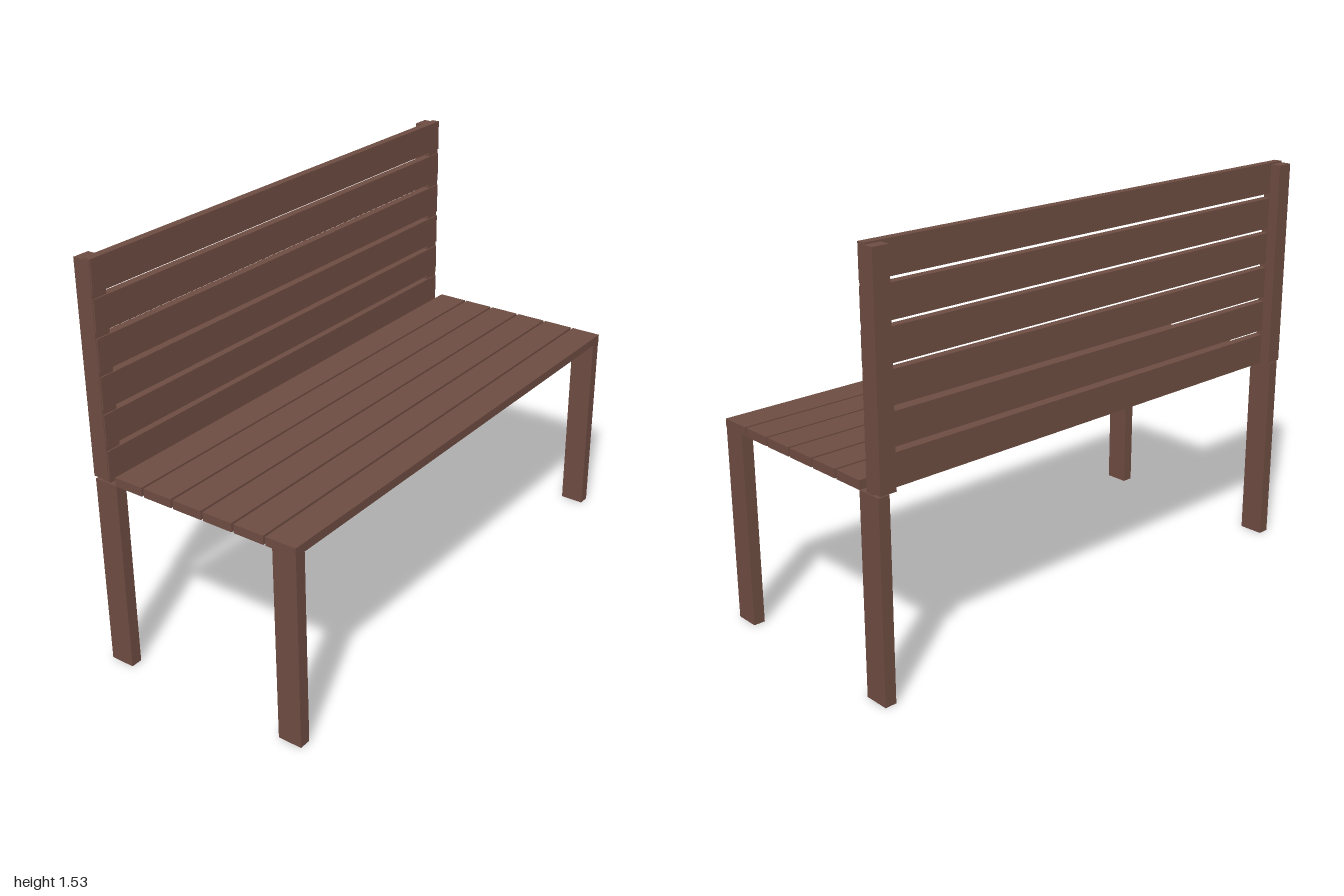
import * as THREE from 'three';

export function createModel() {
  const bench = new THREE.Group();
  bench.name = 'bench';
  const wood = new THREE.MeshStandardMaterial({ color: 0x6d4c41 });

  // Box given by its extents along each axis
  function board(name, [x0, x1], [y0, y1], [z0, z1]) {
    const mesh = new THREE.Mesh(new THREE.BoxGeometry(x1 - x0, y1 - y0, z1 - z0), wood);
    mesh.position.set((x0 + x1) / 2, (y0 + y1) / 2, (z0 + z1) / 2);
    mesh.name = name;
    bench.add(mesh);
  }

  // Six seat slats, front to back
  for (let i = 0; i < 6; i++) {
    const z = 0.372 - i * 0.1284;
    board('seatSlat' + (i + 1), [-1, 1], [0.735, 0.768], [z - 0.0595, z + 0.0595]);
  }

  // Six backrest slats, top to bottom
  for (let i = 0; i < 6; i++) {
    const top = 1.53 - i * 0.1356;
    board('backSlat' + (i + 1), [-0.995, 0.995], [top - 0.117, top], [-0.391, -0.36]);
  }

  // Legs and backrest posts, mirrored left and right
  for (const [side, s] of [['left', 1], ['right', -1]]) {
    const span = (inner, outer) => (s > 0 ? [inner, outer] : [-outer, -inner]);
    board(side + 'FrontLeg', span(0.955, 0.999), [0, 0.735], [0.338, 0.431]);
    board(side + 'BackLeg', span(0.955, 0.999), [0, 0.735], [-0.423, -0.328]);
    board(side + 'BackPost', span(0.933, 0.997), [0.742, 1.524], [-0.431, -0.365]);
  }

  return bench;
}
